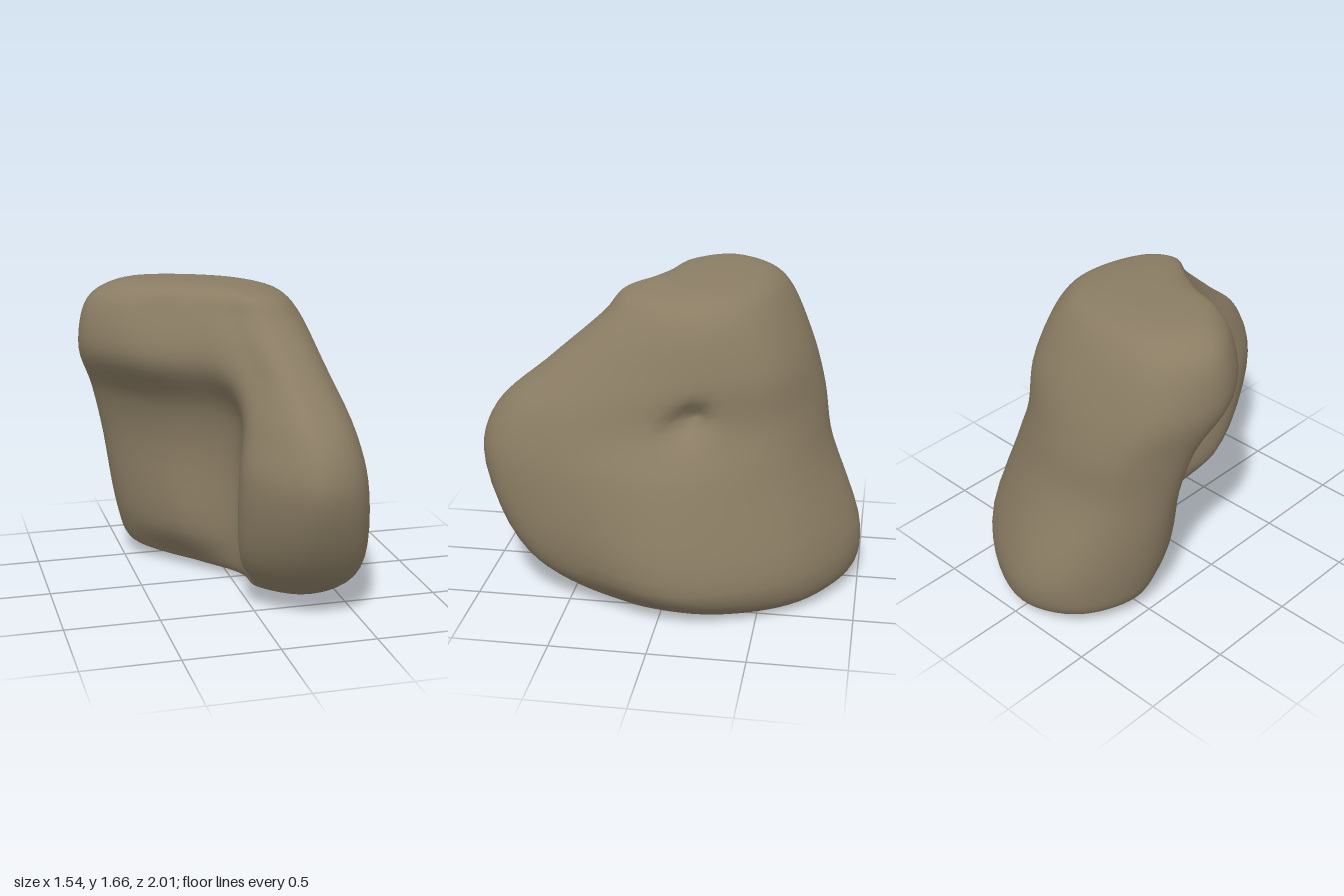
import * as THREE from 'three';

// Each ring: height, then x,z pairs running back, right, front lobe, crease, left shoulder.
const RINGS = [
  [0.07, -.03, -.97, .42, -.72, .62, -.28, .58, .15, .42, .52, .24, .57, .06, .38, .04, .1, -.2, -.2, -.46, -.52, -.34, -.85],
  [0.25, -.03, -1, .5, -.7, .77, -.1, .64, .38, .45, .74, .18, .76, -.06, .52, .02, .13, -.28, -.1, -.53, -.5, -.34, -.91],
  [0.75, -.08, -.82, .34, -.63, .64, -.1, .58, .55, .42, .93, .17, 1, -.1, .66, 0, .15, -.37, -.13, -.62, -.45, -.45, -.74],
  [1.0, -.1, -.77, .29, -.58, .5, -.14, .52, .48, .39, .85, .18, .93, -.05, .6, -.04, .19, -.42, -.07, -.68, -.39, -.51, -.7],
  [1.25, -.12, -.7, .27, -.55, .45, -.22, .45, .25, .33, .58, .14, .65, -.02, .45, -.2, .24, -.56, .06, -.765, -.26, -.61, -.6],
  [1.5, -.15, -.57, .2, -.45, .37, -.2, .35, .11, .24, .31, .08, .36, -.08, .25, -.28, .13, -.56, .01, -.72, -.26, -.55, -.52],
];
const AROUND = 88, UP = 54;

const centreOf = (ring) => ring.reduce((s, p) => s.add(p), new THREE.Vector3()).divideScalar(ring.length);

// Shrunken copy of a ring, used to round over the top and the base
function inset(ring, factor, y) {
  const c = centreOf(ring);
  return ring.map((p) => p.clone().sub(c).multiplyScalar(factor).add(c).setY(y));
}

function boulderGeometry() {
  const rings = RINGS.map(([y, ...xz]) =>
    Array.from({ length: xz.length / 2 }, (_, i) => new THREE.Vector3(xz[2 * i], y, xz[2 * i + 1])));
  const shoulder = rings[rings.length - 1];
  rings.unshift(inset(rings[0], 0.35, 0.025), inset(rings[0], 0.82, 0.03));
  rings.push(inset(shoulder, 0.81, 1.597), inset(shoulder, 0.5, 1.635), inset(shoulder, 0.08, 1.645));

  const columns = rings[0].map((_, i) => new THREE.CatmullRomCurve3(rings.map((r) => r[i])));
  const points = [], index = [];
  for (let j = 0; j <= UP; j++) {
    const loop = new THREE.CatmullRomCurve3(columns.map((c) => c.getPoint(j / UP)), true);
    for (let i = 0; i < AROUND; i++) points.push(loop.getPoint(i / AROUND));
  }
  for (let j = 0; j < UP; j++) {
    for (let i = 0; i < AROUND; i++) {
      const a = j * AROUND + i, b = j * AROUND + (i + 1) % AROUND;
      index.push(a, a + AROUND, b, b, a + AROUND, b + AROUND);
    }
  }
  // Close the base and the top
  const top = UP * AROUND, base = points.length;
  points.push(centreOf(points.slice(0, AROUND)), centreOf(points.slice(top, top + AROUND)));
  for (let i = 0; i < AROUND; i++) {
    const n = (i + 1) % AROUND;
    index.push(base, i, n, base + 1, top + n, top + i);
  }
  // Small pit in the left flank, a gentle tilt of the whole stone, and a base rising under the front lobe
  const pit = new THREE.Vector3(0.48, 1.05, -0.13);
  for (const p of points) {
    p.x -= 0.13 * Math.exp(-p.distanceToSquared(pit) / 0.006);
    p.y -= 0.055 * p.x;
    p.y += 0.1 * Math.max(0, p.z - 0.1) * Math.max(0, 1 - p.y / 0.4);
  }
  const geometry = new THREE.BufferGeometry().setFromPoints(points);
  geometry.setIndex(index);
  geometry.computeVertexNormals();
  return geometry;
}

export function createModel() {
  const stone = new THREE.MeshStandardMaterial({ color: 0x8b7d64 });
  stone.name = 'stone';
  const boulder = new THREE.Mesh(boulderGeometry(), stone);
  boulder.name = 'boulder';
  const group = new THREE.Group();
  group.name = 'rock';
  group.add(boulder);
  return group;
}
